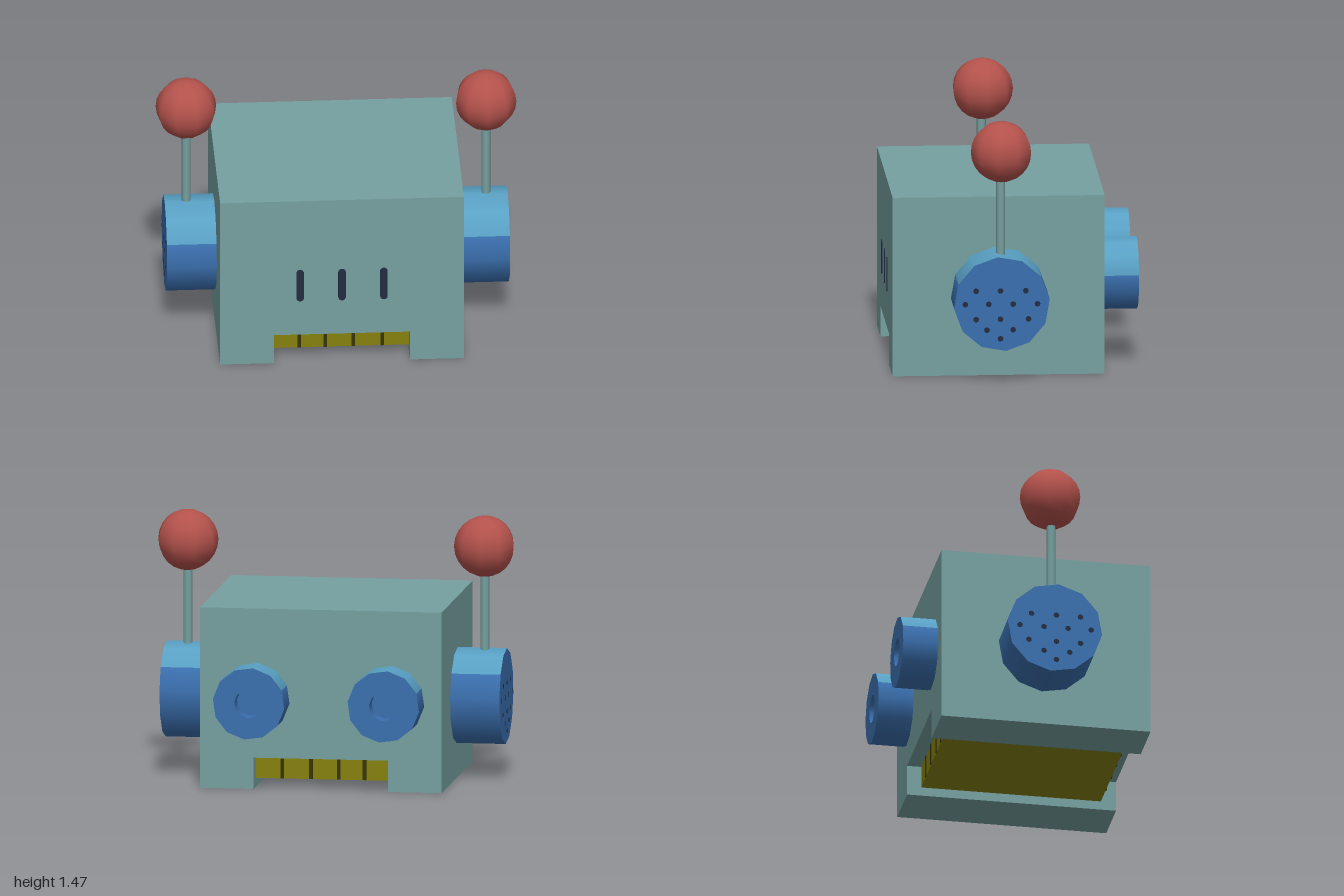
import * as THREE from 'three';

const mat = (name, color) => {
  const m = new THREE.MeshStandardMaterial({ color });
  m.name = name;
  return m;
};
const M = {
  body: mat('grey teal', 0x76a0a0),
  blue: mat('blue', 0x3a6fae),
  light: mat('light blue', 0x58a0c4),
  red: mat('dull red', 0xb4524c),
  olive: mat('olive yellow', 0x86810e),
  groove: mat('dark olive', 0x37350a),
  dark: mat('dark navy', 0x232c40),
};
const rad = THREE.MathUtils.degToRad;

function add(parent, name, geometry, material, x = 0, y = 0, z = 0) {
  const mesh = new THREE.Mesh(geometry, material);
  mesh.name = name;
  mesh.position.set(x, y, z);
  parent.add(mesh);
  return mesh;
}

// Twelve-sided drum along +z, light blue between two angles measured from up;
// a hole radius gives it a blind bore
function drum(name, r, length, from, to, hole = 0, depth = 0) {
  const g = new THREE.Group();
  g.name = name;
  const wall = (a, b) => new THREE.CylinderGeometry(r, r, length, Math.round((b - a) / 30), 1, true,
    Math.PI - rad(b), rad(b - a)).rotateX(Math.PI / 2).translate(0, 0, length / 2);
  add(g, 'upperWall', wall(from, to), M.light);
  add(g, 'lowerWall', wall(to, from + 360), M.blue);
  const start = rad(90 - from);
  if (hole) {
    add(g, 'rim', new THREE.RingGeometry(hole, r, 12, 1, start), M.blue, 0, 0, length);
    // wall of the bore, turned inside out
    const bore = new THREE.CylinderGeometry(hole, hole, depth, 12, 1, true, Math.PI - rad(from));
    bore.rotateX(Math.PI / 2);
    bore.index.array.reverse();
    const n = bore.attributes.normal;
    for (let i = 0; i < n.count; i++) n.setXYZ(i, -n.getX(i), -n.getY(i), -n.getZ(i));
    add(g, 'bore', bore, M.blue, 0, 0, length - depth / 2);
    add(g, 'boreFloor', new THREE.CircleGeometry(hole, 12, start), M.blue, 0, 0, length - depth);
  } else {
    add(g, 'endFace', new THREE.CircleGeometry(r, 12, start), M.blue, 0, 0, length);
  }
  return g;
}

export function createModel() {
  const model = new THREE.Group();
  model.name = 'boxRobotHead';

  // Body block with a channel along the bottom
  const w = 0.675, c = 0.376;
  const outline = new THREE.Shape([
    [-w, 0], [-c, 0], [-c, 0.175], [c, 0.175], [c, 0], [w, 0], [w, 1.01], [-w, 1.01],
  ].map(([x, y]) => new THREE.Vector2(x, y)));
  add(model, 'body', new THREE.ExtrudeGeometry(outline, { depth: 1.175, bevelEnabled: false }),
    M.body, 0, 0, -0.49);

  // Teeth block in the channel, with dark gaps front and back
  add(model, 'teeth', new THREE.BoxGeometry(2 * c, 0.125, 1.01), M.olive, 0, 0.1125, 0.095);
  for (const x of [-0.232, -0.088, 0.067, 0.228])
    for (const z of [0.602, -0.412])
      add(model, 'toothGap', new THREE.BoxGeometry(0.02, 0.123, 0.006), M.groove, x, 0.1125, z);

  // Three rounded slots on the front
  const slot = new THREE.Shape();
  slot.absarc(0, 0.077, 0.021, 0, Math.PI);
  slot.absarc(0, -0.077, 0.021, Math.PI, 2 * Math.PI);
  const slotGeo = new THREE.ExtrudeGeometry(slot, { depth: 0.005, bevelEnabled: false, curveSegments: 6 });
  for (const x of [-0.232, 0, 0.232]) add(model, 'slot', slotGeo, M.dark, x, 0.482, 0.684);

  // Ears with speaker holes, each carrying a stalk and ball
  const holeRows = [
    [0.535, [0.24, 0.105, -0.035]],
    [0.46, [0.3, 0.17, 0.035, -0.1]],
    [0.375, [0.24, 0.105, -0.05]],
    [0.315, [0.18, 0.035]],
    [0.265, [0.105]],
  ];
  const holeGeo = new THREE.CircleGeometry(0.016, 10);
  for (const s of [1, -1]) {
    const side = s > 0 ? 'left' : 'right';
    const turn = s * Math.PI / 2;
    const ear = s > 0 ? drum('leftEar', 0.266, 0.275, -65, 55) : drum('rightEar', 0.266, 0.275, -55, 65);
    ear.rotation.y = turn;
    ear.position.set(s * w, 0.46, 0.097);
    model.add(ear);
    for (const [y, zs] of holeRows)
      for (const z of zs) add(model, side + 'EarHole', holeGeo, M.dark, s * 0.953, y, z).rotation.y = turn;

    add(model, side + 'Stalk', new THREE.CylinderGeometry(0.025, 0.025, 0.5, 8), M.body, s * 0.83, 0.93, 0.097);
    const ball = add(model, side + 'Ball', new THREE.SphereGeometry(0.17, 9, 12), M.red, s * 0.83, 1.297, 0.092);
    ball.rotation.y = s * 0.2;
  }

  // Two bored tubes on the back
  for (const x of [-0.378, 0.375]) {
    const tube = drum('backTube', 0.201, 0.197, -83, 67, 0.08, 0.1);
    tube.rotation.y = Math.PI;
    tube.position.set(x, 0.506, -0.49);
    model.add(tube);
  }
  return model;
}
